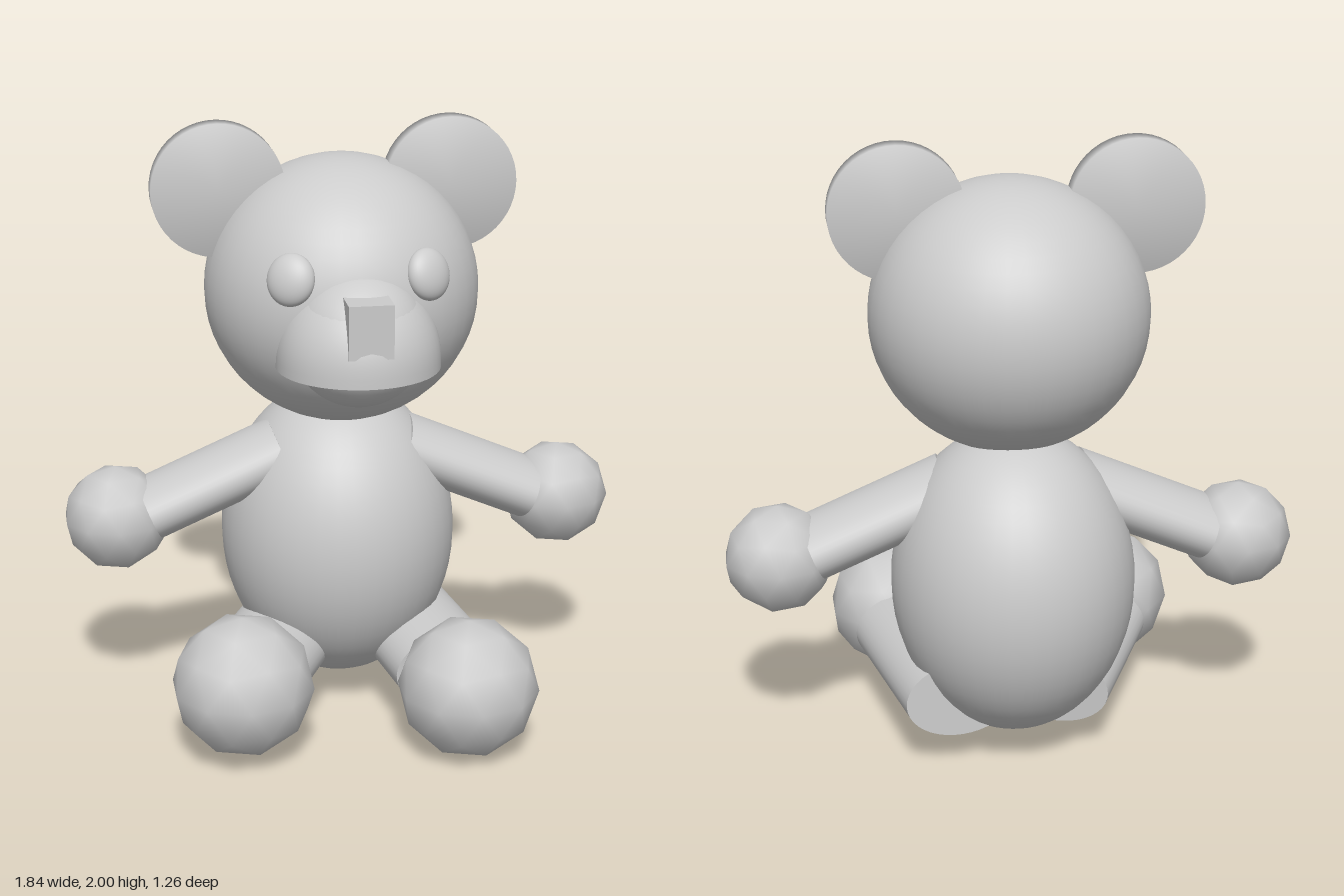
import * as THREE from 'three';

const mat = new THREE.MeshStandardMaterial({ color: 0xcccccc });
const V = (x, y, z) => new THREE.Vector3(x, y, z);

export function createModel() {
  const group = new THREE.Group();
  group.name = 'teddyBear';

  const add = (name, geometry, x, y, z) => {
    const mesh = new THREE.Mesh(geometry, mat);
    mesh.name = name;
    mesh.position.set(x, y, z);
    group.add(mesh);
    return mesh;
  };
  const ellipsoid = (rx, ry, rz) => new THREE.SphereGeometry(1, 40, 28).scale(rx, ry, rz);

  // Coarse, smooth-shaded ball with a vertex on top
  const ball = (r) => new THREE.IcosahedronGeometry(r, 1).rotateZ(Math.atan(0.618));

  // Flattened cylinder from a to b, wider across than it is tall
  const limb = (name, a, b, halfWidth, halfHeight) => {
    const dir = b.clone().sub(a);
    const length = dir.length();
    dir.normalize();
    const side = dir.clone().cross(V(0, 1, 0)).normalize();
    const up = side.clone().cross(dir);
    const mid = a.clone().lerp(b, 0.5);
    const geometry = new THREE.CylinderGeometry(1, 1, length, 40).scale(halfWidth, 1, halfHeight);
    const mesh = add(name, geometry, mid.x, mid.y, mid.z);
    mesh.quaternion.setFromRotationMatrix(new THREE.Matrix4().makeBasis(side, dir, up));
  };

  // Body and head
  add('body', ellipsoid(0.395, 0.51, 0.42), 0, 0.58, -0.205);
  add('head', ellipsoid(0.447, 0.437, 0.445), 0, 1.447, -0.115);

  // Ears: thin round discs with softly shaded rims
  const earProfile = [[0, -0.036], [0.215, -0.036], [0.215, 0.036], [0, 0.036]]
    .map(([r, y]) => new THREE.Vector2(r, y));
  const ear = new THREE.LatheGeometry(earProfile, 48).rotateX(Math.PI / 2);
  add('rightEar', ear, -0.4, 1.785, -0.109);
  add('leftEar', ear, 0.352, 1.785, -0.109);

  // Eyes: flattened beads lying on the head
  for (const s of [-1, 1]) {
    const eye = add(s < 0 ? 'rightEye' : 'leftEye', ellipsoid(0.078, 0.083, 0.045), s * 0.215, 1.573, 0.25);
    eye.lookAt(s * 0.43, 1.7, 0.615);
  }

  // Muzzle: dome with a flat underside and a short straight rim
  const dome = [[0, 0], [0.26, 0], [0.26, 0], [0.26, 0.03]];
  for (let i = 1; i <= 14; i++) {
    const t = (i / 14) * Math.PI / 2;
    dome.push([0.26 * Math.cos(t), 0.03 + 0.27 * Math.sin(t)]);
  }
  const muzzle = new THREE.LatheGeometry(dome.map(([r, y]) => new THREE.Vector2(Math.max(r, 0), y)), 48);
  add('muzzle', muzzle, 0, 1.28, 0.22);
  add('lowerJaw', ellipsoid(0.22, 0.22, 0.22), 0, 1.375, 0.23);
  add('nose', new THREE.BoxGeometry(0.14, 0.17, 0.12), 0, 1.455, 0.408);

  // Arms and hands
  for (const s of [-1, 1]) {
    const side = s < 0 ? 'right' : 'left';
    limb(side + 'Arm', V(s * 0.2, 0.89, -0.15), V(s * 0.642, 0.7, -0.15), 0.157, 0.1);
    add(side + 'Hand', ball(0.177), s * 0.752, 0.673, -0.158);
  }

  // Legs and feet, each splayed at its own angle
  limb('rightLeg', V(-0.12, 0.22, -0.3), V(-0.335, 0.24, 0.18), 0.185, 0.125);
  add('rightFoot', ball(0.232), -0.392, 0.262, 0.338);
  limb('leftLeg', V(0.19, 0.243, -0.385), V(0.305, 0.217, 0.23), 0.185, 0.127);
  add('leftFoot', ball(0.23), 0.332, 0.233, 0.408);

  return group;
}
